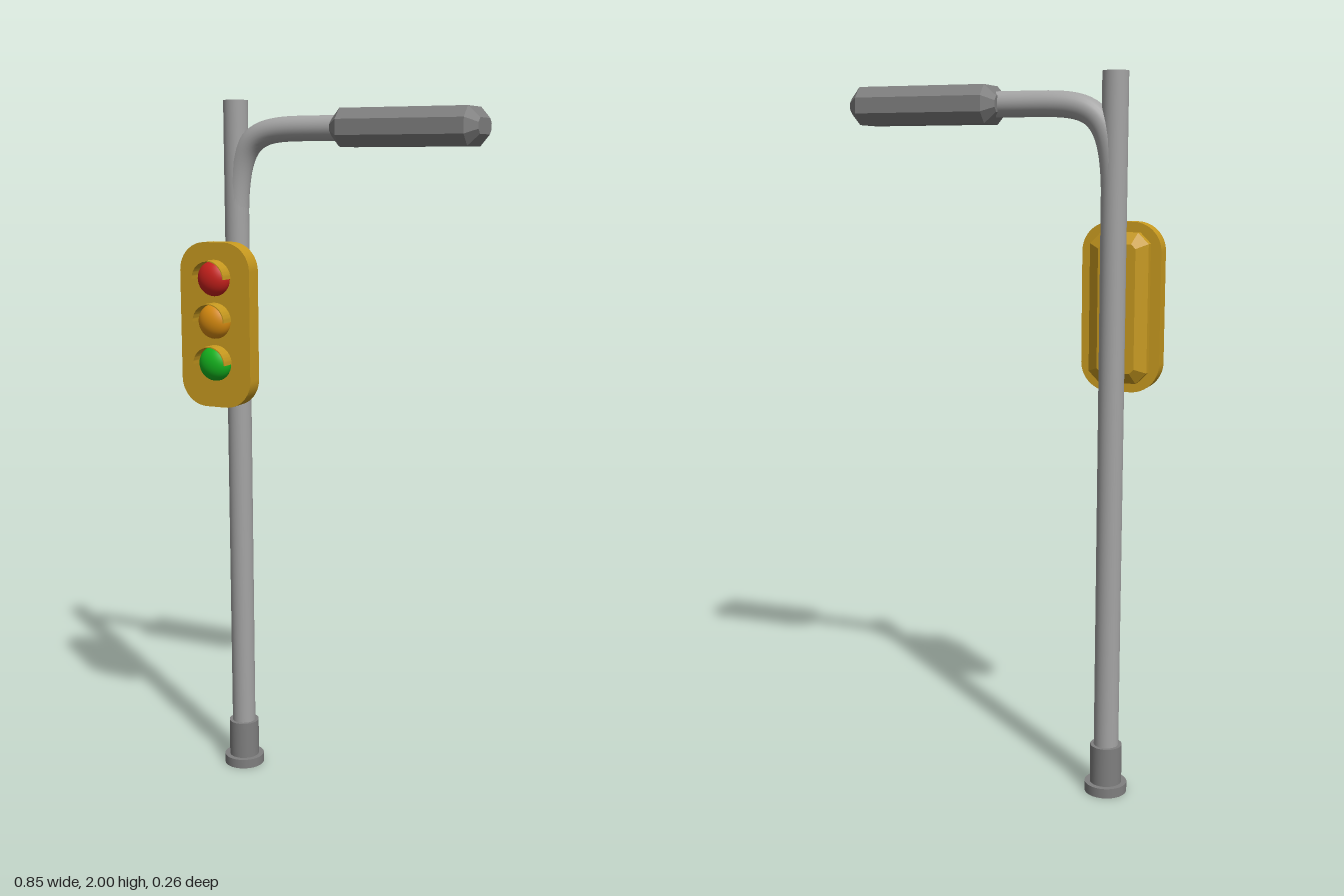
import * as THREE from 'three';
import { toCreasedNormals } from 'three/addons/utils/BufferGeometryUtils.js';

const POLE_X = -0.317, POLE_Z = -0.048, POLE_R = 0.035;
const LAMP_Y = 1.92, SIGNAL_Y = 1.377;

function material(name, color) {
  const m = new THREE.MeshStandardMaterial({ color });
  m.name = name;
  return m;
}

// Rectangle with its corners cut at 45 degrees
function cutRect(hw, hh, c) {
  return new THREE.Shape([
    [hw - c, -hh], [hw, c - hh], [hw, hh - c], [hw - c, hh],
    [c - hw, hh], [-hw, hh - c], [-hw, c - hh], [c - hw, -hh],
  ].map(([x, y]) => new THREE.Vector2(x, y)));
}

// Rectangle with rounded corners
function roundRect(hw, hh, r) {
  const s = new THREE.Shape();
  [[1, -1], [1, 1], [-1, 1], [-1, -1]].forEach(([sx, sy], i) => {
    const a = (i - 1) * Math.PI / 2;
    s.absarc(sx * (hw - r), sy * (hh - r), r, a, a + Math.PI / 2, false);
  });
  s.closePath();
  return s;
}

export function createModel() {
  const model = new THREE.Group();
  model.name = 'streetLampWithTrafficLight';

  const steel = material('light grey steel', 0xa4a4a4);
  const dark = material('dark grey metal', 0x7f7f7f);
  const yellow = material('signal yellow', 0xc7991f);
  const lensColours = [
    ['red', 0xc9211c], ['amber', 0xd98c10], ['green', 0x14b41e],
  ];
  yellow.side = THREE.DoubleSide;

  const add = (name, geometry, mat, x, y, z, parent = model) => {
    const mesh = new THREE.Mesh(geometry, mat);
    mesh.name = name;
    mesh.position.set(x, y, z);
    parent.add(mesh);
    return mesh;
  };
  const post = (name, r, y0, y1, mat) =>
    add(name, new THREE.CylinderGeometry(r, r, y1 - y0, 32), mat, POLE_X, (y0 + y1) / 2, POLE_Z);

  // Pole and stepped foot
  post('foot', 0.06, 0, 0.028, dark);
  post('collar', 0.045, 0.028, 0.14, dark);
  post('pole', POLE_R, 0.14, 2, steel);

  // Arm bending out of the pole to the lamp
  const path = new THREE.CurvePath();
  path.add(new THREE.CubicBezierCurve3(
    new THREE.Vector3(POLE_X, 1.66, 0),
    new THREE.Vector3(POLE_X, LAMP_Y, 0),
    new THREE.Vector3(-0.25, LAMP_Y, 0),
    new THREE.Vector3(-0.08, LAMP_Y, 0)));
  path.add(new THREE.LineCurve3(
    new THREE.Vector3(-0.08, LAMP_Y, 0), new THREE.Vector3(0.03, LAMP_Y, 0)));
  add('arm', new THREE.TubeGeometry(path, 40, POLE_R - 0.0005, 24), steel, 0, 0, POLE_Z);

  // Lamp head, a bevelled block along x
  const head = new THREE.ExtrudeGeometry(cutRect(0.082, 0.051, 0.03), {
    depth: 0.365, bevelThickness: 0.03, bevelSize: 0.03, bevelOffset: -0.03, bevelSegments: 1,
  });
  head.rotateY(Math.PI / 2);
  add('lampHead', head, dark, 0.03, LAMP_Y, POLE_Z);

  // Traffic light: front plate and tapered back housing
  const signal = new THREE.Group();
  signal.name = 'trafficLight';
  signal.position.set(POLE_X, SIGNAL_Y, 0);
  model.add(signal);

  const plate = new THREE.ExtrudeGeometry(roundRect(0.111, 0.233, 0.08), {
    depth: 0.052, bevelEnabled: false, curveSegments: 8,
  });
  add('frontPlate', toCreasedNormals(plate, 0.6), yellow, 0, 0, 0.036, signal);

  const housing = new THREE.ExtrudeGeometry(cutRect(0.082, 0.205, 0.03), {
    depth: 0.03, bevelThickness: 0.025, bevelSize: 0.03, bevelOffset: -0.03, bevelSegments: 1,
  });
  add('backHousing', housing, yellow, 0, 0, 0.011, signal);

  // Domed lenses, each under a half-round hood
  const dome = new THREE.SphereGeometry(0.05, 32, 12, 0, Math.PI * 2, 0, Math.PI / 2);
  dome.rotateX(Math.PI / 2);
  dome.scale(1, 1, 0.68);

  const arch = new THREE.Shape();
  arch.absarc(0, 0, 0.052, 0, Math.PI, false);
  arch.absarc(0, 0, 0.049, Math.PI, 0, true);
  arch.closePath();
  const hood = toCreasedNormals(new THREE.ExtrudeGeometry(arch, {
    depth: 0.042, bevelEnabled: false, curveSegments: 20,
  }), 0.6);

  lensColours.forEach(([name, color], i) => {
    const y = 0.133 - i * 0.12;
    add(name + 'Lens', dome, material(name + ' lens', color), 0, y, 0.088, signal);
    add(name + 'Hood', hood, yellow, 0, y, 0.088, signal);
  });

  return model;
}
